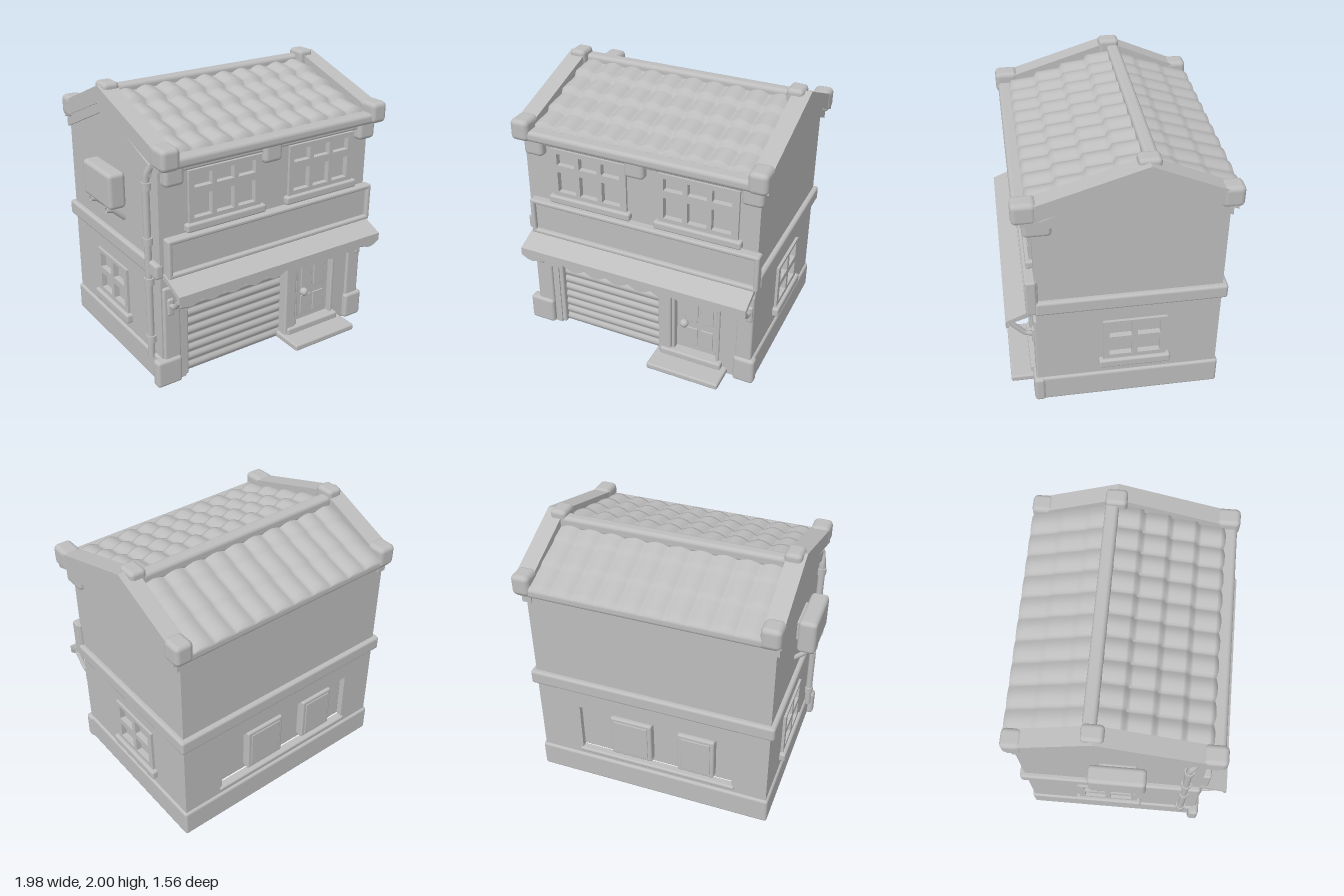
import * as THREE from 'three';
import { RoundedBoxGeometry } from 'three/addons/geometries/RoundedBoxGeometry.js';

const clay = new THREE.MeshStandardMaterial({ color: 0xbdbdbd, side: THREE.DoubleSide });
clay.name = 'clay grey';

function add(parent, name, geometry) {
  const mesh = new THREE.Mesh(geometry, clay);
  mesh.name = name;
  parent.add(mesh);
  return mesh;
}

// Soft-edged box given by its limits
function box(parent, name, x0, x1, y0, y1, z0, z1, r = 0.015) {
  const w = x1 - x0, h = y1 - y0, d = z1 - z0;
  const g = new RoundedBoxGeometry(w, h, d, 2, Math.min(r, w * 0.45, h * 0.45, d * 0.45));
  g.translate((x0 + x1) / 2, (y0 + y1) / 2, (z0 + z1) / 2);
  return add(parent, name, g);
}

const points = (list) => list.map(([a, b]) => new THREE.Vector2(a, b));
const rect = (x0, x1, y0, y1) => [[x0, y0], [x1, y0], [x1, y1], [x0, y1]];

// Flat plate with holes, in the xy plane, from z = 0 to z = depth
function plate(outline, holes, depth) {
  const shape = new THREE.Shape(points(outline));
  holes.forEach((h) => shape.holes.push(new THREE.Path(points(h))));
  return new THREE.ExtrudeGeometry(shape, { depth, bevelEnabled: false });
}

// Profile of (z, y) points drawn out along x
function alongX(outline, holes, x0, x1) {
  return plate(outline, holes, x1 - x0).rotateY(-Math.PI / 2).translate(x1, 0, 0);
}

function tube(parent, name, pts, r) {
  const path = new THREE.CatmullRomCurve3(pts.map((p) => new THREE.Vector3(...p)), false, 'catmullrom', 0.1);
  return add(parent, name, new THREE.TubeGeometry(path, 24, r, 10));
}

// Glazed frame centred on its group; panes are cut through the frame
function makeWindow(parent, name, w, h, panes, sillDrop) {
  const group = new THREE.Group();
  group.name = name;
  const frame = add(group, name + 'Frame', plate(rect(-w / 2, w / 2, -h / 2, h / 2), panes, 0.045));
  frame.position.z = -0.025;
  add(group, name + 'Glass', new THREE.PlaneGeometry(w, h)).position.z = -0.022;
  box(group, name + 'Sill', -w / 2 - 0.03, w / 2 + 0.03, -h / 2 - sillDrop, -h / 2, -0.02, 0.045);
  parent.add(group);
  return group;
}

// Roof slope of rolled tiles, running from the ridge (v = 0) to the eave (v = 1)
function tileSlope(top, eave, rows, roll, step) {
  const cols = 10, seg = 10, x0 = -0.75, x1 = 0.86;
  const g = new THREE.PlaneGeometry(1, 1, cols * 10, rows * seg);
  const p = g.attributes.position;
  for (let i = 0; i < p.count; i++) {
    const u = p.getX(i) + 0.5, v = 0.5 - p.getY(i);
    const f = (Math.round(v * rows * seg) % seg) / seg;
    const hump = Math.abs(Math.sin(u * cols * Math.PI));
    const lift = roll * hump + step * f;
    p.setXYZ(i, x0 + (x1 - x0) * u,
      top[1] + (eave[1] - top[1]) * v + lift,
      top[0] + (eave[0] - top[0]) * v);
  }
  g.computeVertexNormals();
  return g;
}

function buildWalls(root) {
  const sideHole = rect(-0.3, 0.08, 0.37, 0.67);
  const gable = [[-0.71, 0], [0.57, 0], [0.57, 1.62], [-0.14, 1.87], [-0.71, 1.64]];
  add(root, 'rightWall', alongX(gable, [sideHole], 0.88, 0.92));
  add(root, 'leftWall', alongX(gable, [sideHole], -0.84, -0.8));

  const front = [[-0.8, 0], [-0.65, 0], [-0.65, 0.74], [0.2, 0.74], [0.2, 0], [0.31, 0],
    [0.31, 0.64], [0.67, 0.64], [0.67, 0], [0.88, 0], [0.88, 1.64], [-0.8, 1.64]];
  const upper = [-0.33, 0.49].map((c) => rect(c - 0.27, c + 0.27, 1.2, 1.54));
  add(root, 'frontWall', plate(front, upper, 0.05)).position.z = 0.52;
  add(root, 'backWall', plate(rect(-0.8, 0.88, 0, 1.66), [rect(-0.58, 0.6, 0.27, 0.67)], 0.04)).position.z = -0.71;

  // Thick base course and belt between the floors
  for (const [name, y0, y1, o] of [['base', 0, 0.21, 0.018], ['belt', 0.83, 0.94, 0.035]]) {
    box(root, name + 'Right', 0.89, 0.92 + o, y0, y1, -0.71 - o, 0.575, 0.02);
    box(root, name + 'Left', -0.84 - o, -0.81, y0, y1, -0.71 - o, 0.575, 0.02);
    box(root, name + 'Back', -0.84 - o, 0.92 + o, y0, y1, -0.71 - o, -0.68, 0.02);
  }
  box(root, 'leftPierBase', -0.9, -0.7, 0, 0.21, 0.53, 0.61, 0.025);
  box(root, 'rightPierBase', 0.79, 0.95, 0, 0.21, 0.53, 0.61, 0.025);
  box(root, 'leftPier', -0.83, -0.7, 0.18, 0.76, 0.54, 0.59);
  box(root, 'rightPier', 0.8, 0.92, 0.18, 0.76, 0.54, 0.59);
  box(root, 'middlePier', 0.2, 0.3, 0, 0.74, 0.51, 0.6);
}

function buildWindows(root) {
  // Upper front windows: three small panes over three tall ones
  const panes = [];
  for (const x of [-0.25, -0.075, 0.1]) {
    panes.push(rect(x, x + 0.14, 0.06, 0.15), rect(x, x + 0.14, -0.155, 0.005));
  }
  makeWindow(root, 'upperLeftWindow', 0.58, 0.37, panes, 0.06).position.set(0.49, 1.375, 0.57);
  makeWindow(root, 'upperRightWindow', 0.58, 0.37, panes, 0.06).position.set(-0.33, 1.375, 0.57);

  // Four-pane window on each side wall
  const four = [];
  for (const x of [-0.18, 0.02]) for (const y of [-0.14, 0.03]) four.push(rect(x, x + 0.16, y, y + 0.12));
  for (const [name, x, s] of [['leftSideWindow', 0.92, 1], ['rightSideWindow', -0.84, -1]]) {
    const w = makeWindow(root, name, 0.45, 0.35, four, 0.07);
    w.position.set(x, 0.525, -0.11);
    w.rotation.y = s * Math.PI / 2;
  }

  // Sunken panel with two plain windows at the back
  box(root, 'backRecess', -0.6, 0.62, 0.25, 0.69, -0.65, -0.63);
  for (const [x0, x1] of [[0.04, 0.36], [-0.44, -0.16]]) {
    box(root, 'backWindow', x0, x1, 0.29, 0.64, -0.71, -0.64);
    box(root, 'backWindowPane', x0 + 0.03, x1 - 0.03, 0.32, 0.61, -0.716, -0.7, 0.004);
  }
  box(root, 'backSill', -0.6, 0.62, 0.235, 0.27, -0.725, -0.68);
}

function buildShopFront(root) {
  // Ribbed roller shutter
  const g = new THREE.PlaneGeometry(0.87, 0.76, 1, 120);
  const p = g.attributes.position;
  for (let i = 0; i < p.count; i++) {
    p.setZ(i, 0.016 * Math.abs(Math.sin((p.getY(i) + 0.38) * Math.PI / 0.072)));
  }
  g.computeVertexNormals();
  add(root, 'shutter', g).position.set(-0.225, 0.38, 0.51);
  box(root, 'shutterJamb', -0.7, -0.62, 0, 0.74, 0.5, 0.56);

  // Door with panels, casing, knob and steps
  box(root, 'door', 0.31, 0.67, 0.08, 0.64, 0.5, 0.535, 0.008);
  for (const x of [0.39, 0.51]) {
    for (const [y0, y1] of [[0.14, 0.3], [0.36, 0.58]]) box(root, 'doorPanel', x, x + 0.1, y0, y1, 0.53, 0.543, 0.004);
  }
  box(root, 'doorCasingRight', 0.3, 0.325, 0.08, 0.66, 0.52, 0.585);
  box(root, 'doorCasingLeft', 0.65, 0.675, 0.08, 0.66, 0.52, 0.585);
  box(root, 'doorLintel', 0.3, 0.675, 0.63, 0.66, 0.52, 0.585);
  add(root, 'doorKnob', new THREE.SphereGeometry(0.032, 16, 12)).position.set(0.395, 0.35, 0.57);
  box(root, 'lowerStep', 0.18, 0.74, 0, 0.05, 0.5, 0.77);
  box(root, 'upperStep', 0.22, 0.7, 0.04, 0.1, 0.5, 0.62);

  // Framed signboard
  box(root, 'signBoard', -0.8, 0.94, 0.85, 1.12, 0.55, 0.605);
  box(root, 'signTop', -0.81, 0.95, 1.09, 1.125, 0.56, 0.635);
  box(root, 'signBottom', -0.81, 0.95, 0.84, 0.875, 0.56, 0.635);
  box(root, 'signEndRight', -0.81, -0.775, 0.84, 1.125, 0.56, 0.635);
  box(root, 'signEndLeft', 0.915, 0.95, 0.84, 1.125, 0.56, 0.635);

  // Awning with scalloped valance and struts
  const awning = [[0.56, 0.87], [0.6, 0.86], [0.775, 0.785], [0.775, 0.755], [0.56, 0.83]];
  add(root, 'awning', alongX(awning, [], -0.82, 0.925));
  const edge = [[0.925, 0.785], [-0.82, 0.785]];
  for (let i = 0; i <= 80; i++) {
    edge.push([-0.82 + 1.745 * i / 80, 0.728 - 0.034 * Math.abs(Math.sin(i * Math.PI / 8))]);
  }
  add(root, 'valance', plate(edge, [], 0.02)).position.z = 0.757;
  for (const x of [-0.78, 0.89]) {
    tube(root, 'awningStrut', [[x, 0.75, 0.75], [x, 0.64, 0.65], [x, 0.62, 0.57]], 0.018);
    box(root, 'strutFoot', x - 0.025, x + 0.025, 0.55, 0.68, 0.56, 0.605);
  }
  box(root, 'wallLamp', -0.73, -0.58, 0.58, 0.69, 0.54, 0.63, 0.03);
}

function buildRoof(root) {
  const band = (dy, t, z0, z1) => [[z0, 1.71 + dy], [-0.17, 1.96 + dy], [z1, 1.71 + dy],
    [z1, 1.71 + dy - t], [-0.17, 1.96 + dy - t], [z0, 1.71 + dy - t]];
  add(root, 'roofDeck', alongX(band(-0.045, 0.05, 0.62, -0.74), [], -0.8, 0.9));
  add(root, 'frontTiles', tileSlope([-0.17, 1.905], [0.6, 1.675], 4, 0.03, 0.035));
  add(root, 'backTiles', tileSlope([-0.17, 1.91], [-0.78, 1.68], 3, 0.022, 0.012));
  box(root, 'ridgeBeam', -0.75, 0.87, 1.87, 1.962, -0.25, -0.155, 0.03);
  box(root, 'frontEave', -0.86, 0.98, 1.62, 1.7, 0.57, 0.68, 0.03);
  box(root, 'backEave', -0.86, 0.98, 1.61, 1.69, -0.77, -0.68, 0.03);

  // Verges, with an inner barge board and block ends
  for (const [side, x0, x1, c] of [['right', -0.87, -0.74, -0.79], ['left', 0.86, 0.985, 0.88]]) {
    add(root, side + 'Verge', alongX(band(0.02, 0.12, 0.64, -0.74), [], x0, x1));
    const inner = side === 'left' ? [0.88, 0.95] : [-0.86, -0.79];
    add(root, side + 'Barge', alongX(band(-0.09, 0.08, 0.5, -0.72), [], ...inner));
    box(root, side + 'RidgeBlock', c - 0.06, c + 0.06, 1.86, 2, -0.25, -0.1, 0.03);
    box(root, side + 'FrontBlock', x0 - 0.005, x1 + 0.005, 1.62, 1.775, 0.53, 0.695, 0.035);
    box(root, side + 'BackBlock', x0 - 0.005, x1 + 0.005, 1.62, 1.775, -0.78, -0.63, 0.035);
  }

  // Brackets under the front eave
  for (const x of [-0.745, 0.035, 0.875]) box(root, 'eaveBracket', x - 0.075, x + 0.075, 1.49, 1.64, 0.44, 0.63, 0.03);
  box(root, 'frontFrieze', -0.82, 0.92, 1.57, 1.64, 0.53, 0.6);
}

function buildFittings(root) {
  // Air unit on the right side wall
  box(root, 'airUnit', -0.99, -0.86, 1.21, 1.47, -0.22, 0.18, 0.03);
  box(root, 'airUnitMount', -0.88, -0.83, 1.26, 1.42, -0.15, 0.11);
  for (const z of [-0.14, 0.1]) {
    tube(root, 'airUnitBracket', [[-0.98, 1.19, z], [-0.93, 1.18, z], [-0.84, 1.1, z]], 0.018);
  }
  // Drainpipe with collars
  tube(root, 'drainpipe', [[-0.84, 1.62, 0.5], [-0.865, 1.52, 0.46], [-0.865, 0.9, 0.46], [-0.865, 0.18, 0.46]], 0.025);
  for (const y of [0.33, 0.78, 1.08, 1.47]) {
    add(root, 'pipeCollar', new THREE.CylinderGeometry(0.036, 0.036, 0.05, 16)).position.set(-0.862, y, 0.46);
  }
}

export function createModel() {
  const root = new THREE.Group();
  root.name = 'shopHouse';
  for (const build of [buildWalls, buildWindows, buildShopFront, buildRoof, buildFittings]) build(root);
  return root;
}
